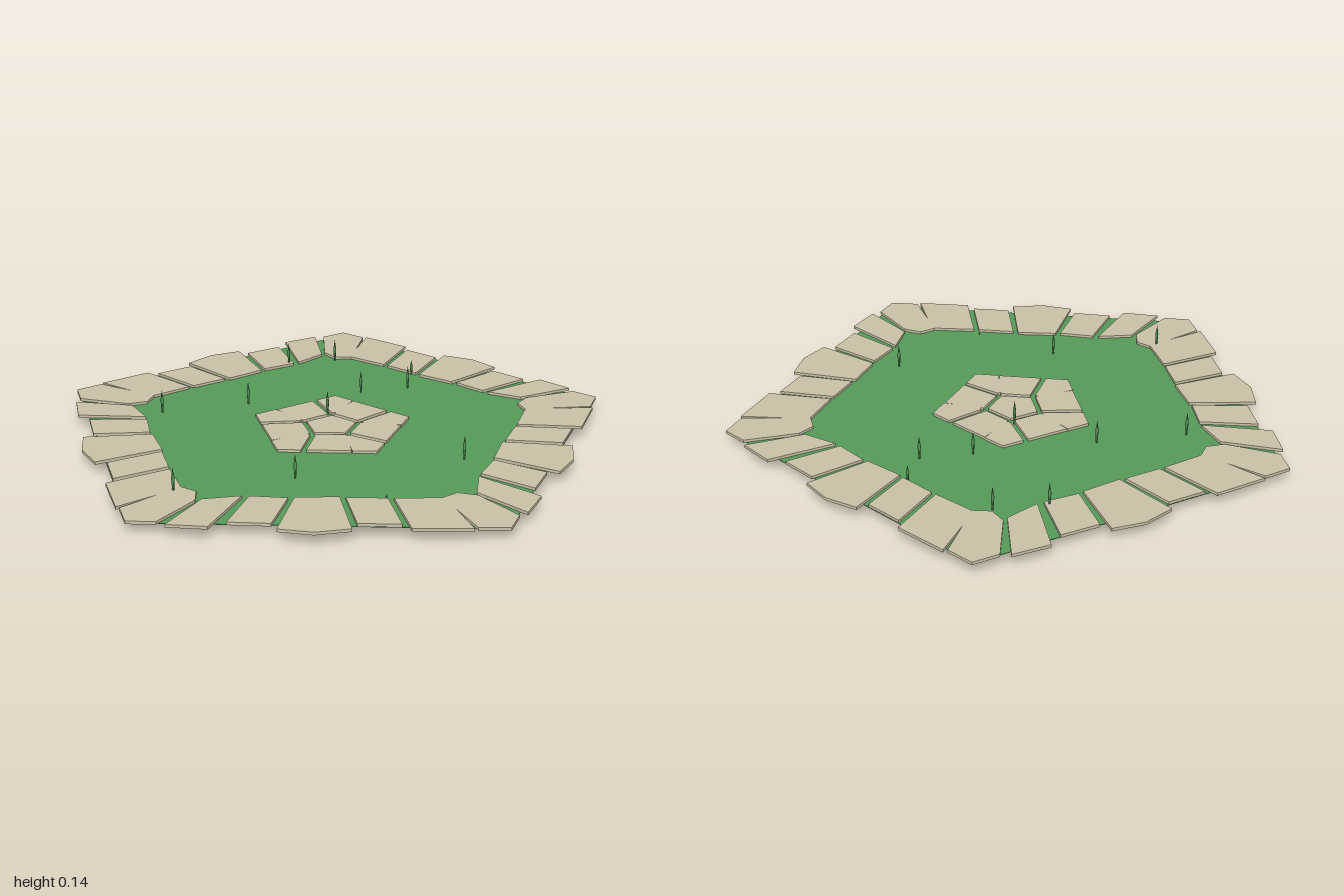
import * as THREE from 'three';

const stoneMat = new THREE.MeshStandardMaterial({ color: 0xc9c1a7 });
stoneMat.name = 'sandstone';
const grassMat = new THREE.MeshStandardMaterial({ color: 0x559a58 });
grassMat.name = 'grassGreen';

const CENTER_X = -0.07;   // middle of the pentagon
const GROUND = 0.036;

// Flat slab from a plan outline of [x, z] points
function slab(name, points, y, height, material) {
  const shape = new THREE.Shape(points.map(([x, z]) => new THREE.Vector2(x - CENTER_X, -z)));
  const geo = new THREE.ExtrudeGeometry(shape, { depth: height, bevelEnabled: false });
  geo.rotateX(-Math.PI / 2);
  geo.translate(0, y, 0);
  const mesh = new THREE.Mesh(geo, material);
  mesh.name = name;
  return mesh;
}

// Regular pentagon outline with one corner towards +x
function pentagon(radius) {
  return Array.from({ length: 5 }, (_, i) => {
    const a = i * Math.PI * 2 / 5;
    return [CENTER_X + radius * Math.cos(a), radius * Math.sin(a)];
  });
}

// Paving of one side: a corner stone, then the stones along the edge
const borderSide = [
  [[-0.92, -0.62], [-0.82, -0.655], [-0.645, -0.475], [-0.68, -0.42], [-0.75, -0.415], [-0.92, -0.52]],
  [[-0.94, -0.49], [-0.74, -0.395], [-0.71, -0.265], [-0.95, -0.35]],
  [[-0.915, -0.295], [-0.71, -0.24], [-0.72, -0.11], [-0.92, -0.15]],
  [[-0.96, -0.13], [-0.715, -0.09], [-0.705, 0.06], [-0.95, 0.11], [-0.98, -0.01]],
  [[-0.91, 0.125], [-0.71, 0.08], [-0.71, 0.22], [-0.91, 0.27]],
  [[-0.94, 0.30], [-0.71, 0.24], [-0.70, 0.41], [-0.935, 0.50]],
];

// One side of the middle paving: corner stone and edge stone
const middleSide = [
  [[-0.312, -0.178], [-0.23, -0.205], [-0.155, -0.085], [-0.17, -0.07], [-0.312, -0.095]],
  [[-0.312, -0.075], [-0.165, -0.05], [-0.165, 0.06], [-0.312, 0.085]],
];

// Blade positions: x, z, base y, tip y
const blades = [
  [-0.64, -0.31, 0.04, 0.13], [-0.31, -0.31, 0.04, 0.13], [0.135, -0.31, 0.04, 0.13],
  [0.325, -0.31, 0.04, 0.13], [-0.055, -0.70, 0.04, 0.13], [0.135, -0.69, 0.04, 0.13],
  [0.385, -0.45, 0.04, 0.10], [-0.05, -0.12, 0.04, 0.135], [-0.73, 0.42, 0.04, 0.13],
  [-0.31, 0.42, 0.04, 0.13], [0.30, 0.42, 0.04, 0.13], [-0.055, 0.65, 0, 0.047],
];

export function createModel() {
  const model = new THREE.Group();
  model.name = 'pentagonCourt';
  const court = new THREE.Group();
  court.name = 'court';
  court.position.x = CENTER_X;
  model.add(court);

  // Lawn
  court.add(slab('lawn', pentagon(1.04), GROUND, 0.002, grassMat));

  // Five matching sides of paving
  for (let i = 0; i < 5; i++) {
    const side = new THREE.Group();
    side.name = 'pavingSide';
    side.rotation.y = i * Math.PI * 2 / 5;
    borderSide.forEach(p => side.add(slab('borderStone', p, GROUND + 0.001, 0.011, stoneMat)));
    middleSide.forEach(p => side.add(slab('middleStone', p, GROUND + 0.001, 0.011, stoneMat)));
    court.add(side);
  }
  court.add(slab('centerStone', pentagon(0.095), GROUND + 0.001, 0.011, stoneMat));

  // Grass blades: slim leaf profile with four sides
  for (const [x, z, y0, y1] of blades) {
    const profile = [[0, 0], [0.003, 0], [0.006, 0.55], [0, 1]]
      .map(([r, t]) => new THREE.Vector2(r, y0 + t * (y1 - y0)));
    const blade = new THREE.Mesh(new THREE.LatheGeometry(profile, 4), grassMat);
    blade.name = 'grassBlade';
    blade.position.set(x, 0, z);
    model.add(blade);
  }
  return model;
}
